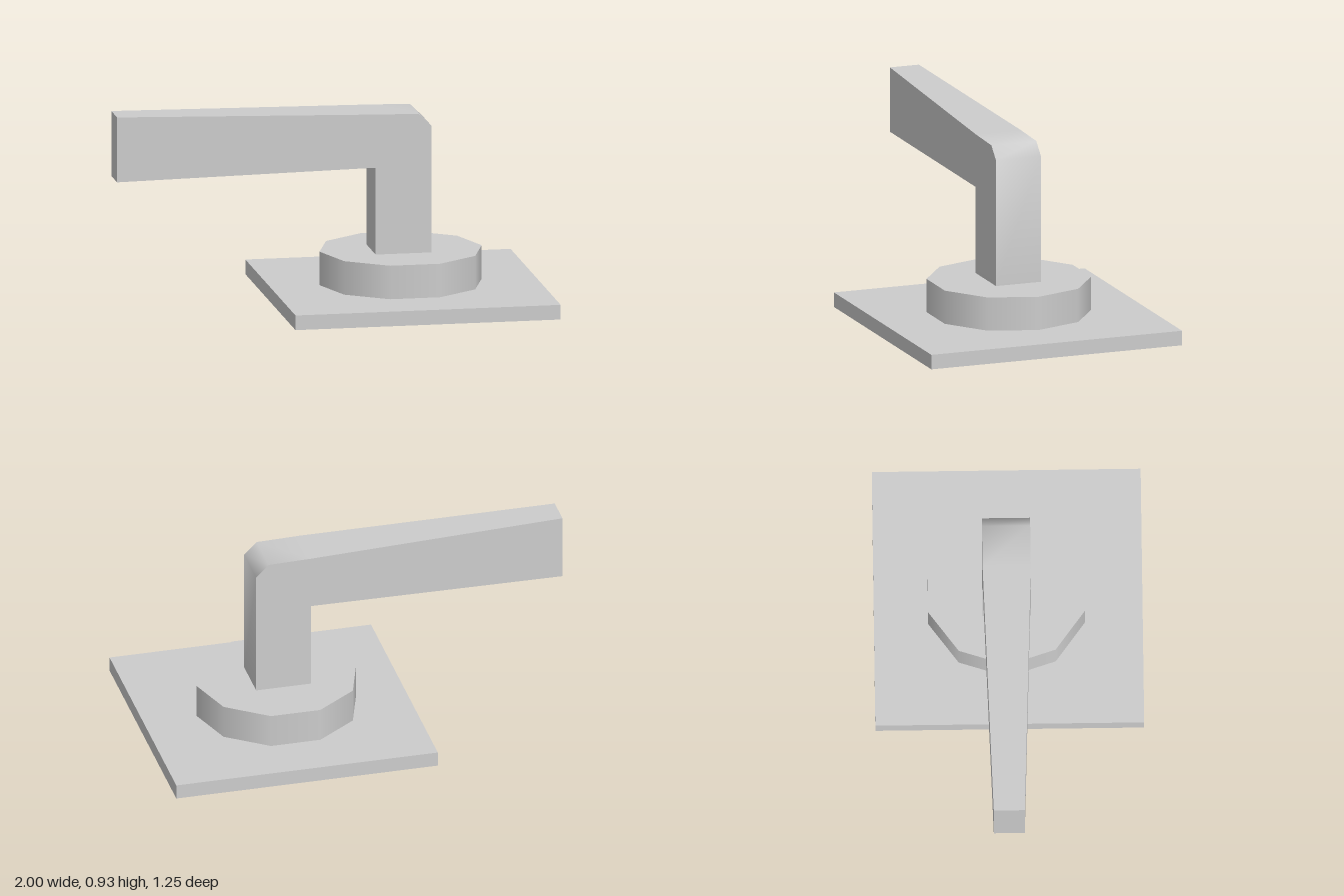
import * as THREE from 'three';
import { toCreasedNormals } from 'three/addons/utils/BufferGeometryUtils.js';

export function createModel() {
  const group = new THREE.Group();
  group.name = 'doorHandle';
  const metal = new THREE.MeshStandardMaterial({ color: 0xcccccc, side: THREE.DoubleSide });
  metal.name = 'brushedGrey';

  const add = (name, geometry) => {
    const mesh = new THREE.Mesh(geometry, metal);
    mesh.name = name;
    group.add(mesh);
    return mesh;
  };

  // Square backing plate: a shallow shell, open underneath
  const plate = new THREE.BoxGeometry(1.26, 0.07, 1.255);
  const faces = Array.from(plate.index.array);
  faces.splice(18, 6);
  plate.setIndex(faces);
  plate.clearGroups();
  add('backPlate', plate).position.set(0.37, 0.035, 0);

  // Ten-sided rose with smooth sides, a corner pointing to +x
  const rose = new THREE.CylinderGeometry(0.385, 0.385, 0.165, 10);
  rose.rotateY(Math.PI / 2);
  add('rose', rose).position.set(0.36, 0.1475, -0.008);

  // Neck and lever in one bent profile with a bevelled elbow
  const profile = new THREE.Shape([
    [0.22, 0.225], [0.485, 0.225], [0.485, 0.835], [0.425, 0.894],
    [0.22, 0.899], [-1, 0.925], [-1, 0.615], [0.22, 0.645],
  ].map(([x, y]) => new THREE.Vector2(x, y)));
  const lever = new THREE.ExtrudeGeometry(profile, { depth: 1, bevelEnabled: false });

  // Taper the lever's width towards its free end
  const pos = lever.attributes.position;
  for (let i = 0; i < pos.count; i++) {
    const t = Math.max(0, (0.22 - pos.getX(i)) / 1.22);
    const width = THREE.MathUtils.lerp(0.225, 0.145, t);
    pos.setZ(i, -0.008 - THREE.MathUtils.lerp(0, 0.004, t) + (pos.getZ(i) - 0.5) * width);
  }
  add('lever', toCreasedNormals(lever, THREE.MathUtils.degToRad(55)));

  return group;
}
